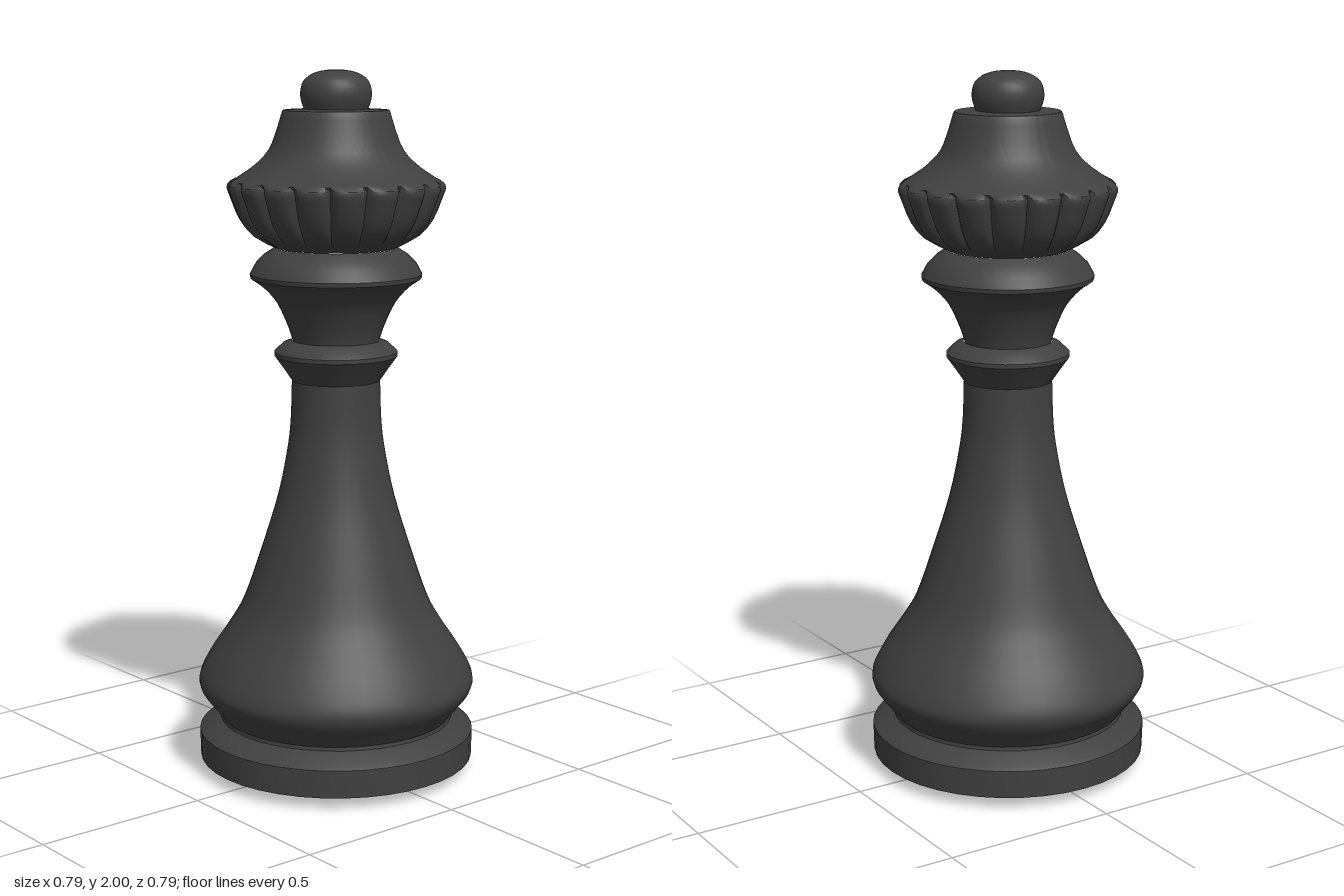
import * as THREE from 'three';
import { toCreasedNormals } from 'three/addons/utils/BufferGeometryUtils.js';

const charcoal = new THREE.MeshStandardMaterial({ color: 0x404040 });
charcoal.name = 'charcoal';

const vec = (pts) => pts.map(([r, y]) => new THREE.Vector2(r, y));
const curve = (pts, n) => new THREE.SplineCurve(vec(pts)).getPoints(n);

function addTurned(group, name, points, segments = 40) {
  const geometry = toCreasedNormals(new THREE.LatheGeometry(points, segments), 0.6);
  const mesh = new THREE.Mesh(geometry, charcoal);
  mesh.name = name;
  group.add(mesh);
}

// Bowl with rounded lobes pressed into its lower half
function flutedCrown() {
  const lobes = 18, start = THREE.MathUtils.degToRad(7.5);
  const profile = [
    ...curve([[0.17, 1.51], [0.235, 1.545], [0.272, 1.59], [0.293, 1.64], [0.306, 1.675]], 8),
    ...vec([[0.304, 1.686], [0.292, 1.697]]),
    ...curve([[0.275, 1.705], [0.225, 1.74], [0.188, 1.78], [0.167, 1.83], [0.15, 1.885]], 10),
    ...vec([[0.147, 1.89], [0, 1.897]]),
  ];
  const geometry = new THREE.LatheGeometry(profile, lobes * 8, start, Math.PI * 2);
  const pos = geometry.attributes.position;
  for (let i = 0; i < pos.count; i++) {
    const x = pos.getX(i), y = pos.getY(i), z = pos.getZ(i);
    const angle = Math.atan2(x, z) - start;
    // Grooves fade in from the foot of the bowl and stop under the shoulder
    const fade = Math.min(THREE.MathUtils.smoothstep(y, 1.51, 1.56),
      1 - THREE.MathUtils.smoothstep(y, 1.68, 1.704));
    const lobe = Math.sqrt(Math.abs(Math.sin(angle * lobes / 2)));
    const k = 1 - 0.085 * fade * (1 - lobe);
    pos.setXYZ(i, x * k, y, z * k);
  }
  const mesh = new THREE.Mesh(toCreasedNormals(geometry, 0.6), charcoal);
  mesh.name = 'flutedCrown';
  return mesh;
}

export function createModel() {
  const group = new THREE.Group();
  group.name = 'chessPiece';

  // Foot with a shallow conical underside
  addTurned(group, 'foot', vec([
    [0, 0], [0.04, 0.018], [0.394, 0.035], [0.396, 0.115], [0.385, 0.124], [0.335, 0.15], [0.333, 0.165],
  ]));

  // Flared body rising into a slim neck
  addTurned(group, 'body', curve([
    [0.333, 0.16], [0.36, 0.195], [0.39, 0.235], [0.395, 0.275], [0.36, 0.345], [0.31, 0.42],
    [0.265, 0.5], [0.213, 0.65], [0.167, 0.8], [0.14, 0.93], [0.129, 1.02], [0.125, 1.14],
  ], 44));

  // Lower collar ring
  addTurned(group, 'lowerCollar', vec([
    [0.125, 1.135], [0.15, 1.172], [0.174, 1.205], [0.174, 1.217], [0.15, 1.24], [0.125, 1.249],
  ]));

  // Flaring neck and upper collar
  addTurned(group, 'upperCollar', [
    ...curve([[0.122, 1.245], [0.134, 1.285], [0.166, 1.355], [0.205, 1.4], [0.24, 1.425]], 12),
    ...vec([[0.242, 1.437], [0.225, 1.468], [0.2, 1.492], [0.172, 1.51]]),
  ]);

  group.add(flutedCrown());

  // Rounded knob
  addTurned(group, 'knob', curve([
    [0.086, 1.885], [0.097, 1.915], [0.099, 1.942], [0.09, 1.97], [0.065, 1.989], [0.033, 1.998], [0, 2],
  ], 16), 32);

  return group;
}
